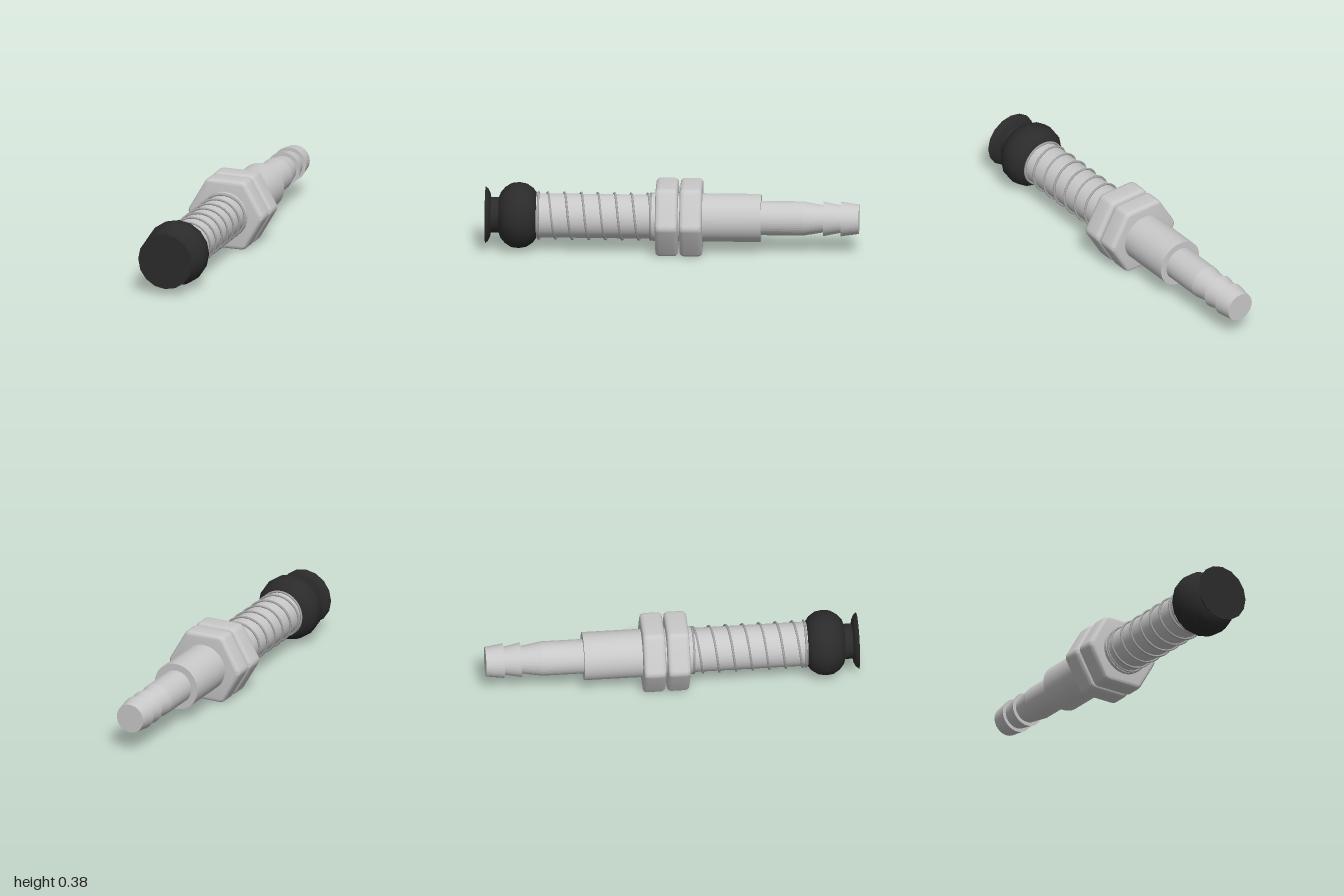
import * as THREE from 'three';
import { toCreasedNormals } from 'three/addons/utils/BufferGeometryUtils.js';

const AXIS_Y = 0.19;

// Turned part along z from [z, radius] pairs, listed back to front
function turned(name, profile, sides, material, crease) {
  const points = profile.map(([z, r]) => new THREE.Vector2(r, z));
  const geometry = new THREE.LatheGeometry(points, sides).rotateX(Math.PI / 2);
  const mesh = new THREE.Mesh(toCreasedNormals(geometry, crease), material);
  mesh.name = name;
  return mesh;
}

// Hexagonal nut with softened corners and rounded rims
function hexNut(name, zBack, zFront, material) {
  const bevel = 0.02, rim = 0.025;
  const radius = (AXIS_Y - bevel) / Math.cos(Math.PI / 6);
  const corner = (i) => new THREE.Vector2(Math.cos(i * Math.PI / 3), Math.sin(i * Math.PI / 3)).multiplyScalar(radius);
  const shape = new THREE.Shape();
  for (let i = 0; i < 6; i++) {
    const c = corner(i);
    const a = c.clone().lerp(corner(i - 1), 0.06);
    const b = c.clone().lerp(corner(i + 1), 0.06);
    if (i === 0) shape.moveTo(a.x, a.y);
    else shape.lineTo(a.x, a.y);
    shape.quadraticCurveTo(c.x, c.y, b.x, b.y);
  }
  shape.closePath();
  const geometry = new THREE.ExtrudeGeometry(shape, {
    depth: zFront - zBack - 2 * rim, bevelEnabled: true, bevelSize: bevel,
    bevelThickness: rim, bevelSegments: 4, curveSegments: 4,
  }).translate(0, 0, zBack + rim);
  const mesh = new THREE.Mesh(toCreasedNormals(geometry, 0.6), material);
  mesh.name = name;
  return mesh;
}

// Compression spring: one closed turn at each end, open coils between
class SpringCurve extends THREE.Curve {
  getPoint(t, target = new THREE.Vector3()) {
    const open = 6.75, turn = t * (open + 2);
    const k = THREE.MathUtils.clamp((turn - 1) / open, 0, 1);
    const angle = (turn - 0.6) * Math.PI * 2;
    return target.set(0.124 * Math.sin(angle), 0.124 * Math.cos(angle), 0.716 - 0.602 * k);
  }
}

export function createModel() {
  const metal = new THREE.MeshStandardMaterial({ color: 0xc8c8c8 });
  metal.name = 'light grey metal';
  const wire = new THREE.MeshStandardMaterial({ color: 0xa8a8a8 });
  wire.name = 'spring steel';
  const rubber = new THREE.MeshStandardMaterial({ color: 0x2b2b2b });
  rubber.name = 'black rubber';

  const model = new THREE.Group();
  model.name = 'suctionCupPlunger';
  const assembly = new THREE.Group();
  assembly.name = 'assembly';
  assembly.position.y = AXIS_Y;
  model.add(assembly);

  // Barbed hose tail
  assembly.add(turned('hoseBarb', [
    [-1, 0], [-1, 0.079], [-0.903, 0.093], [-0.903, 0.074],
    [-0.81, 0.093], [-0.81, 0.073], [-0.70, 0.092], [-0.47, 0.092],
  ], 48, metal, 0.1));

  // Threaded sleeve and sliding rod
  assembly.add(turned('sleeve', [[-0.476, 0], [-0.476, 0.129], [0.107, 0.129], [0.107, 0]], 48, metal, 0.5));
  assembly.add(turned('rod', [[0.1, 0.118], [0.74, 0.118]], 48, metal, 0.5));

  // Pair of lock nuts
  assembly.add(hexNut('rearNut', -0.163, -0.043, metal));
  assembly.add(hexNut('frontNut', -0.033, 0.087, metal));

  // Spring around the rod
  const spring = new THREE.Mesh(new THREE.TubeGeometry(new SpringCurve(), 280, 0.006, 6), wire);
  spring.name = 'spring';
  assembly.add(spring);

  // Bellows suction cup
  assembly.add(turned('suctionCup', [
    [0.727, 0], [0.727, 0.122], [0.745, 0.147], [0.78, 0.17], [0.82, 0.177], [0.86, 0.172],
    [0.895, 0.15], [0.92, 0.12], [0.928, 0.095], [0.97, 0.095], [0.974, 0.118],
    [0.985, 0.14], [1, 0.153], [1, 0],
  ], 16, rubber, 0.75));

  return model;
}
